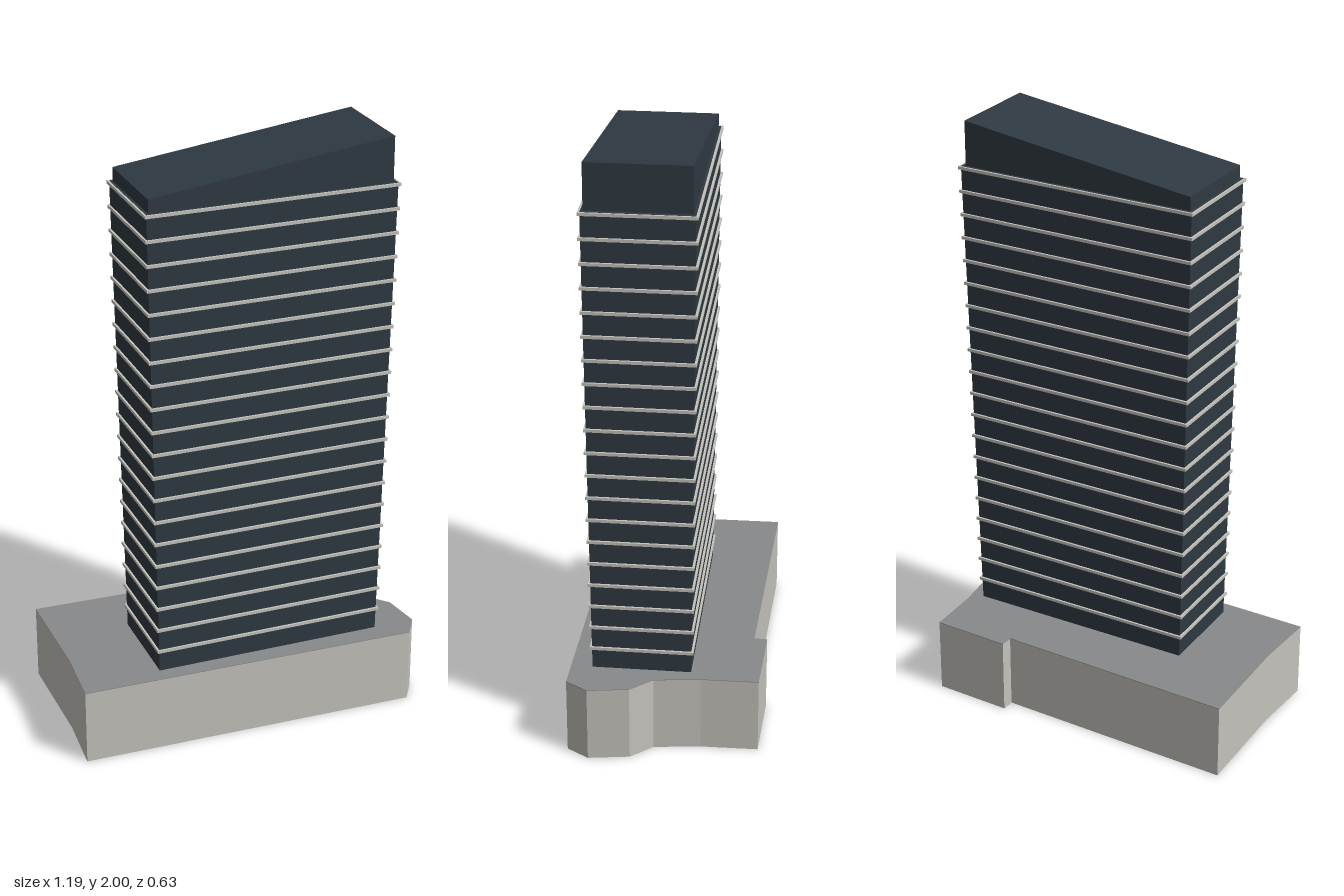
import * as THREE from 'three';

const glass = new THREE.MeshStandardMaterial({ name: 'dark glass', color: 0x2f3942 });
const concrete = new THREE.MeshStandardMaterial({ name: 'pale concrete', color: 0xc4c2bb });
const roofing = new THREE.MeshStandardMaterial({ name: 'grey roofing', color: 0x88898a });

const BASE = 0.26, TOP = 1.85;

// Plan rectangle of the flaring tower at height y
function planAt(y) {
  const t = (y - BASE) / (TOP - BASE);
  const mix = (a, b) => a + (b - a) * t;
  return { x0: mix(-0.326, -0.351), x1: mix(0.452, 0.48), z0: mix(-0.085, -0.1), z1: mix(0.238, 0.246) };
}

// Box whose corners are placed by rule: plan(y) gives the sides, topAt(x) the upper height
function shapedBox(name, material, y0, topAt, plan) {
  const geo = new THREE.BoxGeometry(1, 1, 1);
  const p = geo.attributes.position;
  for (let i = 0; i < p.count; i++) {
    const upper = p.getY(i) > 0;
    const r = plan(upper ? topAt(0) : y0);
    const x = p.getX(i) > 0 ? r.x1 : r.x0;
    p.setXYZ(i, x, upper ? topAt(x) : y0, p.getZ(i) > 0 ? r.z1 : r.z0);
  }
  geo.computeVertexNormals();
  const mesh = new THREE.Mesh(geo, material);
  mesh.name = name;
  return mesh;
}

// Upright slab from a plan outline
function slab(name, material, shape, y0, height) {
  const geo = new THREE.ExtrudeGeometry(shape, { depth: height, bevelEnabled: false });
  geo.rotateX(-Math.PI / 2);
  const mesh = new THREE.Mesh(geo, material);
  mesh.name = name;
  mesh.position.y = y0;
  return mesh;
}

export function createModel() {
  const model = new THREE.Group();
  model.name = 'officeTower';

  // Irregular podium with a notch at the back and a faceted corner
  const outline = [
    [-0.588, -0.3], [0.223, -0.274], [0.225, -0.317], [0.488, -0.308], [0.491, -0.121],
    [0.51, 0.032], [0.573, 0.103], [0.594, 0.238], [0.548, 0.311], [-0.599, 0.285], [-0.584, 0.07],
  ];
  const plan = new THREE.Shape(outline.map(([x, z]) => new THREE.Vector2(x, -z)));
  model.add(slab('podium', concrete, plan, 0, BASE - 0.002));
  model.add(slab('podiumRoof', roofing, plan, BASE - 0.002, 0.002));

  // Glazed shaft, widening slightly upwards
  model.add(shapedBox('shaft', glass, BASE, () => TOP, planAt));

  // Floor bands standing proud of the glass
  const bands = new THREE.Group();
  bands.name = 'floorBands';
  const out = 0.007;
  for (let i = 0; i < 20; i++) {
    const y = 0.334 + i * 0.0795;
    const r = planAt(y);
    const band = new THREE.Mesh(
      new THREE.BoxGeometry(r.x1 - r.x0 + 2 * out, 0.01, r.z1 - r.z0 + 2 * out), concrete);
    band.position.set((r.x0 + r.x1) / 2, y, (r.z0 + r.z1) / 2);
    band.name = 'floorBand' + (i + 1);
    bands.add(band);
  }
  model.add(bands);

  // Set-back crown with a sloping roof
  const crown = { x0: -0.342, x1: 0.467, z0: -0.092, z1: 0.238 };
  const slope = (x) => 1.895 + 0.105 * (x - crown.x0) / (crown.x1 - crown.x0);
  model.add(shapedBox('crown', glass, TOP, slope, () => crown));

  return model;
}
